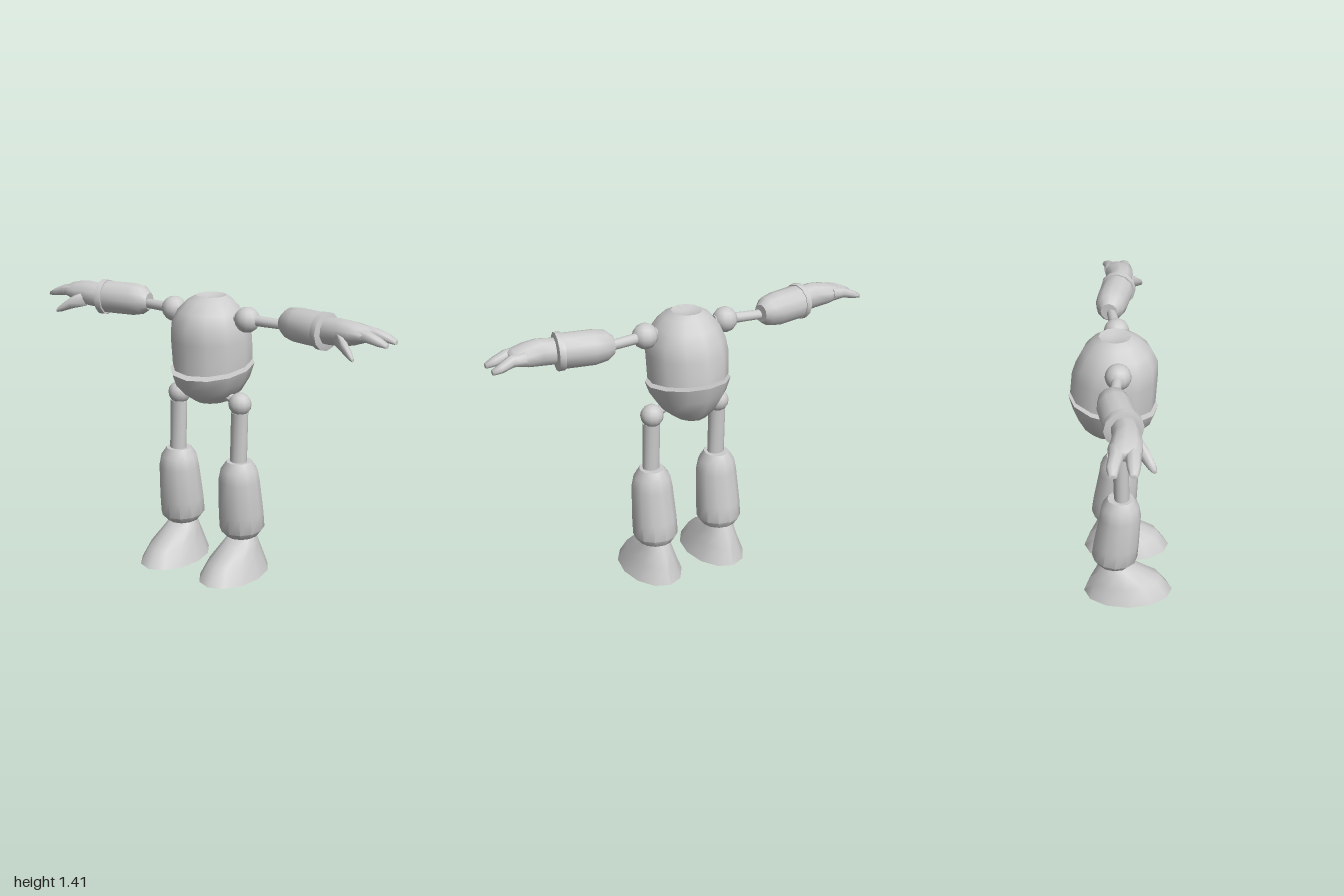
import * as THREE from 'three';
import { toCreasedNormals } from 'three/addons/utils/BufferGeometryUtils.js';

// Capped skin over oval rings [x, y, z, halfA, halfB, tilt], stacked along x or y; side mirrors x.
function loft(axis, rings, side = 1, n = 12, crease = 0.75) {
  const pos = [], index = [];
  for (const [x, y, z, a, b, tilt = 0] of rings) {
    for (let i = 0; i < n; i++) {
      const t = (i / n) * Math.PI * 2, c = Math.cos(t), s = Math.sin(t);
      if (axis === 'y') pos.push(side * x + a * s, y + tilt * b * c, z + b * c);
      else pos.push(side * (x + tilt * b * side * s), y + a * c, z + b * side * s);
    }
  }
  const last = (rings.length - 1) * n;
  for (let r = 0; r < last; r += n) {
    for (let i = 0; i < n; i++) {
      const j = (i + 1) % n;
      index.push(r + i, r + j, r + n + j, r + i, r + n + j, r + n + i);
    }
  }
  // End caps
  const [p, q] = [rings[0], rings[rings.length - 1]];
  const m = last + n;
  pos.push(side * p[0], p[1], p[2], side * q[0], q[1], q[2]);
  for (let i = 0; i < n; i++) {
    const j = (i + 1) % n;
    index.push(m, j, i, m + 1, last + i, last + j);
  }
  const g = new THREE.BufferGeometry();
  g.setAttribute('position', new THREE.Float32BufferAttribute(pos, 3));
  g.setIndex(index);
  return toCreasedNormals(g, crease);
}

export function createModel() {
  const model = new THREE.Group();
  model.name = 'robotBody';
  const grey = new THREE.MeshStandardMaterial({ color: 0xcccccc });
  grey.name = 'light grey';

  const add = (parent, name, geometry) => {
    const mesh = new THREE.Mesh(geometry, grey);
    mesh.name = name;
    parent.add(mesh);
    return mesh;
  };
  const ball = (parent, name, r, x, y, z) =>
    add(parent, name, new THREE.SphereGeometry(r, 12, 8)).position.set(x, y, z);

  // Torso shell with a slanted lower edge and a dished top
  add(model, 'torso', loft('y', [
    [0, 1.07, -0.042, 0.195, 0.208, -0.145],
    [0, 1.2, -0.032, 0.2, 0.207, -0.05],
    [0, 1.27, -0.023, 0.19, 0.197, 0],
    [0, 1.335, -0.021, 0.16, 0.165],
    [0, 1.385, -0.024, 0.115, 0.115],
    [0, 1.408, -0.03, 0.075, 0.078],
    [0, 1.395, -0.03, 0.03, 0.03],
  ]));

  // Pelvis bowl, separated from the torso by a thin gap
  add(model, 'pelvis', loft('y', [
    [0, 0.857, -0.06, 0.035, 0.04],
    [0, 0.875, -0.052, 0.085, 0.105],
    [0, 0.92, -0.045, 0.14, 0.155, -0.04],
    [0, 0.985, -0.04, 0.185, 0.2, -0.11],
    [0, 1.052, -0.04, 0.208, 0.219, -0.15],
  ]));

  for (const side of [1, -1]) {
    const label = side > 0 ? 'left' : 'right';

    // Arm
    const arm = new THREE.Group();
    arm.name = label + 'Arm';
    model.add(arm);
    ball(arm, 'shoulderBall', 0.063, side * 0.22, 1.314, -0.02);
    add(arm, 'upperArm', loft('x', [
      [0.16, 1.316, -0.015, 0.028, 0.028],
      [0.44, 1.311, -0.045, 0.024, 0.024],
    ], side, 10));
    add(arm, 'forearm', loft('x', [
      [0.405, 1.32, -0.055, 0.045, 0.042, -0.17],
      [0.44, 1.324, -0.05, 0.073, 0.068, -0.17],
      [0.5, 1.323, -0.04, 0.084, 0.08, -0.17],
      [0.65, 1.323, -0.01, 0.084, 0.082, -0.17],
    ], side));
    add(arm, 'cuff', loft('x', [
      [0.642, 1.322, -0.009, 0.09, 0.088, -0.17],
      [0.672, 1.322, -0.003, 0.092, 0.09, -0.17],
      [0.678, 1.322, -0.002, 0.068, 0.066, -0.17],
    ], side));

    // Mitten hand: palm, two broad fingers and a drooping thumb
    const hand = new THREE.Group();
    hand.name = label + 'Hand';
    arm.add(hand);
    add(hand, 'palm', loft('x', [
      [0.66, 1.325, -0.003, 0.064, 0.06],
      [0.75, 1.332, 0.008, 0.066, 0.064],
      [0.82, 1.334, 0.004, 0.054, 0.074],
      [0.88, 1.337, -0.003, 0.036, 0.072],
      [0.9, 1.337, -0.003, 0.024, 0.06],
    ], side, 10, 1.2));
    for (const [z, tipZ] of [[0.032, 0.032], [-0.04, -0.055]]) {
      add(hand, 'finger', loft('x', [
        [0.84, 1.336, z, 0.036, 0.035],
        [0.9, 1.337, z, 0.029, 0.034],
        [0.96, 1.32, tipZ, 0.021, 0.029],
        [1, 1.308, tipZ, 0.012, 0.018],
      ], side, 8, 1.2));
    }
    add(hand, 'thumb', loft('x', [
      [0.75, 1.315, 0.04, 0.044, 0.03],
      [0.81, 1.288, 0.08, 0.032, 0.028],
      [0.86, 1.258, 0.11, 0.02, 0.02],
      [0.88, 1.245, 0.122, 0.01, 0.01],
    ], side, 8, 1.2));

    // Leg
    const leg = new THREE.Group();
    leg.name = label + 'Leg';
    model.add(leg);
    add(leg, 'hipPeg', loft('x', [
      [0.09, 0.925, -0.015, 0.026, 0.026],
      [0.18, 0.89, -0.015, 0.026, 0.026],
    ], side, 8));
    ball(leg, 'hipBall', 0.058, side * 0.186, 0.886, -0.015);
    add(leg, 'thigh', loft('y', [
      [0.188, 0.57, -0.002, 0.044, 0.039],
      [0.188, 0.845, -0.01, 0.044, 0.039],
    ], side));
    add(leg, 'shin', loft('y', [
      [0.188, 0.193, -0.045, 0.085, 0.088, -0.08],
      [0.188, 0.23, -0.04, 0.114, 0.117, -0.08],
      [0.188, 0.32, -0.03, 0.113, 0.115, -0.05],
      [0.188, 0.49, -0.01, 0.104, 0.104],
      [0.188, 0.55, -0.01, 0.092, 0.095],
      [0.188, 0.593, -0.008, 0.062, 0.067],
    ], side));
    add(leg, 'foot', loft('y', [
      [0.188, 0, 0.03, 0.149, 0.23],
      [0.188, 0.085, 0.016, 0.113, 0.185],
      [0.188, 0.155, -0.03, 0.084, 0.105],
      [0.188, 0.195, -0.047, 0.067, 0.065, -0.08],
    ], side));
  }
  return model;
}
